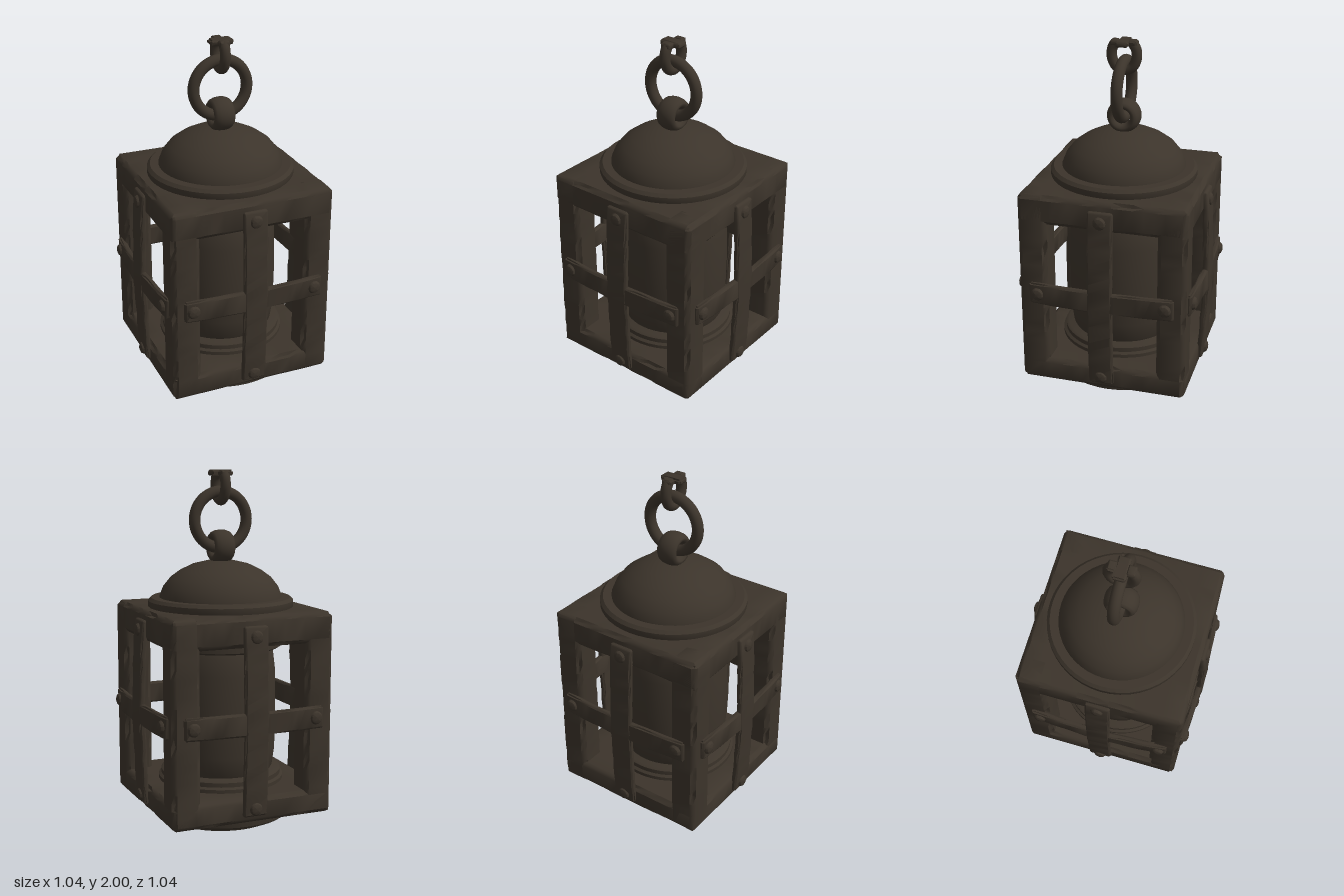
import * as THREE from 'three';
import { toCreasedNormals } from 'three/addons/utils/BufferGeometryUtils.js';

const iron = new THREE.MeshStandardMaterial({ color: 0x3c342b });
iron.name = 'dark iron';

const wave = (x, y, z) => Math.sin(x * 17 + y * 13.7 + z * 9) * Math.sin(y * 29 + x * 7 - z * 21);

// Box with bevelled, unevenly worn edges, centred at c
function wornBox(size, c, seg, bevel, wear, bend) {
  const g = new THREE.BoxGeometry(...size, ...seg).toNonIndexed();
  const p = g.attributes.position;
  for (let i = 0; i < p.count; i++) {
    const v = [p.getX(i), p.getY(i), p.getZ(i)];
    const at = v.map((a, k) => Math.abs(a) > size[k] / 2 - 1e-4);
    const atEdge = at.filter(Boolean).length > 1;
    const chip = Math.max(0, wave(v[0] + c[0], v[1] + c[1], v[2] + c[2])) * wear;
    const out = v.map((a, k) => {
      const half = size[k] / 2, s = Math.sign(a);
      if (at[k]) return atEdge ? s * (half - bevel * 0.4 - chip) : a;
      // rows beside an edge move out to form the bevel
      const besideEdge = Math.abs(a) > half - size[k] / seg[k] - 1e-4;
      return besideEdge ? s * (half - bevel) : a;
    });
    if (bend) bend(out);
    p.setXYZ(i, out[0] + c[0], out[1] + c[1], out[2] + c[2]);
  }
  g.deleteAttribute('uv');
  return toCreasedNormals(g, 0.6);
}

function add(parent, name, geometry) {
  const m = new THREE.Mesh(geometry, iron);
  m.name = name;
  parent.add(m);
  return m;
}

function lathe(points) {
  const g = new THREE.LatheGeometry(points.map(([x, y]) => new THREE.Vector2(x, y)), 48);
  return toCreasedNormals(g, 0.6);
}

// Riveted cross of two bowed straps for one side, facing +z
function strapCross() {
  const cross = new THREE.Group();
  const bow = (axis, half, depth) => (v) => {
    const t = v[axis] / half;
    v[2] += depth * (1 - t * t) + 0.004 * wave(v[0], v[1], 0);
  };
  add(cross, 'verticalStrap', wornBox([0.14, 1.05, 0.035], [0, 0.665, 0.473], [3, 20, 3], 0.01, 0.007, bow(1, 0.525, 0.024)));
  add(cross, 'horizontalStrap', wornBox([0.82, 0.125, 0.035], [0, 0.66, 0.474], [20, 3, 3], 0.01, 0.007, bow(0, 0.41, 0.02)));
  const rivet = lathe([[0.037, 0], [0.037, 0.012], [0.029, 0.024], [0.014, 0.03], [0, 0.031]]);
  rivet.rotateX(Math.PI / 2);
  for (const [x, y] of [[0, 1.13], [0, 0.185], [-0.36, 0.66], [0.36, 0.66]]) {
    add(cross, 'rivet', rivet).position.set(x, y, 0.483);
  }
  return cross;
}

export function createModel() {
  const model = new THREE.Group();
  model.name = 'hangingLantern';

  // Square cage: floor, roof and corner posts
  const cage = new THREE.Group();
  cage.name = 'cage';
  model.add(cage);
  add(cage, 'floorSlab', wornBox([0.945, 0.14, 0.945], [0, 0.17, 0], [16, 3, 16], 0.025, 0.012));
  add(cage, 'roofSlab', wornBox([0.945, 0.17, 0.945], [0, 1.155, 0], [16, 3, 16], 0.025, 0.012));
  for (const x of [-1, 1]) for (const z of [-1, 1]) {
    add(cage, 'cornerPost', wornBox([0.163, 1.14, 0.163], [x * 0.391, 0.67, z * 0.391], [3, 22, 3], 0.025, 0.018));
  }

  // Bowed straps on all four sides
  for (let i = 0; i < 4; i++) {
    const side = strapCross();
    side.name = 'strapCross';
    side.rotation.y = i * Math.PI / 2;
    model.add(side);
  }

  // Inner barrel with collars at both ends
  add(model, 'innerBarrel', lathe([[0, 0.27], [0.27, 0.27], [0.298, 0.32], [0.312, 0.42], [0.316, 0.65],
    [0.312, 0.88], [0.3, 0.98], [0.28, 1.03], [0, 1.03]]));
  add(model, 'lowerCollar', lathe([[0, 0.22], [0.36, 0.22], [0.36, 0.26], [0.345, 0.27], [0.345, 0.295], [0.33, 0.305], [0, 0.305]]));
  add(model, 'upperCollar', lathe([[0, 1.01], [0.33, 1.01], [0.345, 1.02], [0.345, 1.09], [0, 1.09]]));

  // Stepped foot
  add(model, 'foot', lathe([[0, 0], [0.29, 0], [0.325, 0.012], [0.335, 0.04], [0.385, 0.04], [0.405, 0.055],
    [0.41, 0.09], [0.4, 0.11], [0, 0.11]]));

  // Domed cap
  add(model, 'capRim', lathe([[0.4, 1.22], [0.412, 1.245], [0.412, 1.275], [0.395, 1.292], [0.345, 1.292], [0, 1.292]]));
  add(model, 'dome', lathe([[0.348, 1.28], [0.346, 1.3], [0.325, 1.352], [0.285, 1.402], [0.23, 1.442], [0.16, 1.476],
    [0.08, 1.495], [0, 1.5]]));

  // Chain: wide eyelet, large ring, broken link and a stub of the next one
  const chain = new THREE.Group();
  chain.name = 'chain';
  model.add(chain);
  const eyelet = new THREE.TorusGeometry(0.066, 0.029, 14, 32);
  eyelet.scale(1, 1, 2.1).rotateY(Math.PI / 2);
  add(chain, 'eyelet', eyelet).position.y = 1.575;
  add(chain, 'largeRing', new THREE.TorusGeometry(0.157, 0.032, 14, 48)).position.y = 1.725;
  const linkPath = new THREE.CatmullRomCurve3([[-0.045, 1.985], [-0.066, 1.95], [-0.069, 1.9], [-0.045, 1.85], [0, 1.832],
    [0.045, 1.85], [0.069, 1.9], [0.066, 1.95], [0.045, 1.985]].map(([z, y]) => new THREE.Vector3(0, y, z)));
  add(chain, 'brokenLink', new THREE.TubeGeometry(linkPath, 40, 0.029, 12));
  for (const s of [-1, 1]) {
    add(chain, 'linkEnd', wornBox([0.06, 0.035, 0.05], [0, 1.982, s * 0.05], [3, 3, 3], 0.01, 0.004));
  }
  add(chain, 'chainStub', wornBox([0.13, 0.032, 0.07], [0, 1.984, 0], [5, 3, 3], 0.01, 0.006));

  return model;
}
